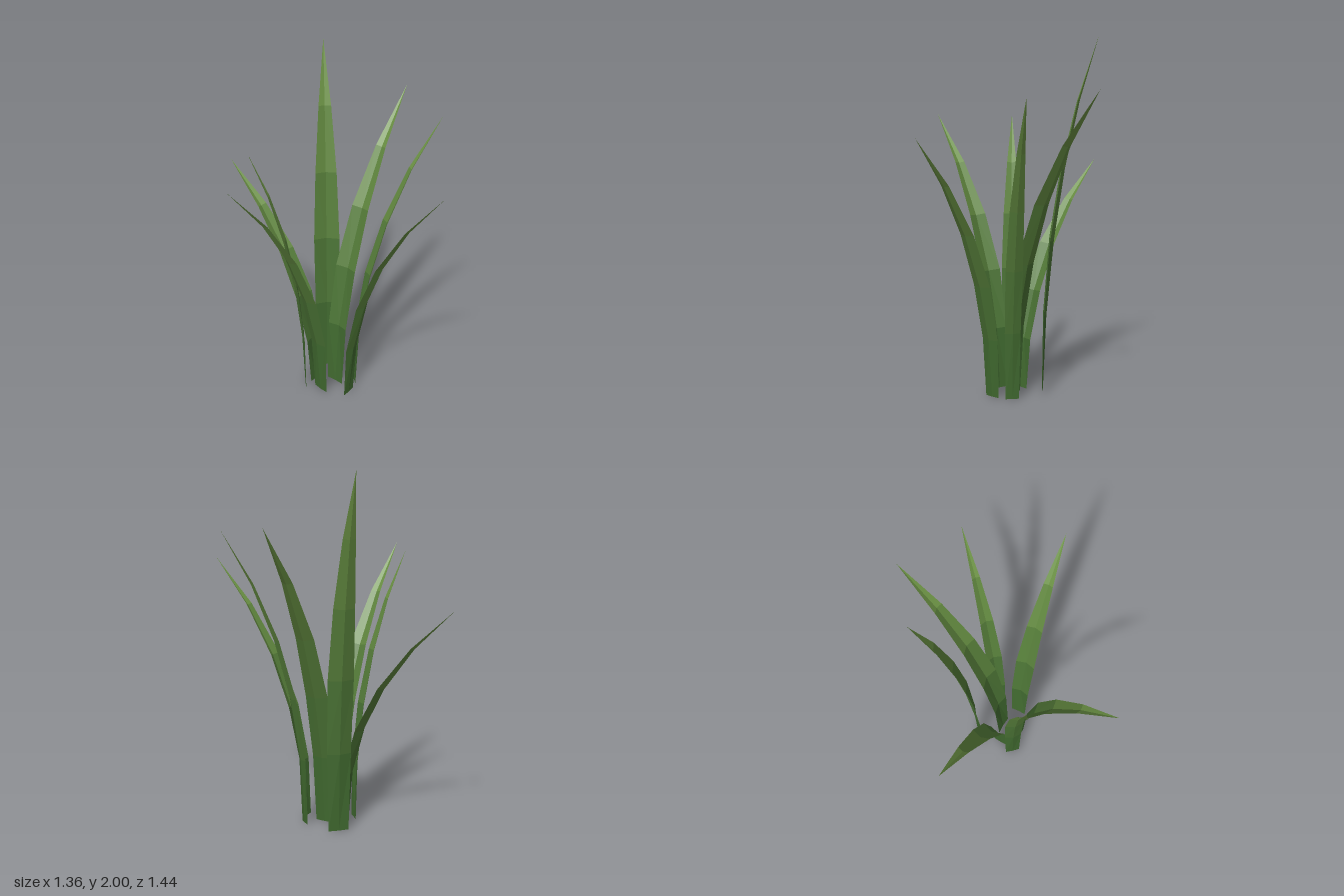
import * as THREE from 'three';

// Shades from the dark foot of a blade to its lighter tip
const shades = [0x40692f, 0x4a7234, 0x557c39, 0x60863e, 0x6a9043].map(color =>
  new THREE.MeshStandardMaterial({ color, flatShading: true, side: THREE.DoubleSide }));

// Relative blade width and fold depth at each of the six rows
const widths = [0.78, 0.93, 1, 0.82, 0.48, 0];
const folds = [0.03, 0.12, 0.16, 0.17, 0.17, 0];

// A folded blade: foot (x, z), tip (x, y, z) and greatest width
function blade(foot, tip, width) {
  const dx = tip[0] - foot[0], dz = tip[2] - foot[1];
  const reach = Math.hypot(dx, dz);
  const out = new THREE.Vector3(dx / reach, 0, dz / reach);
  const side = new THREE.Vector3(out.z, 0, -out.x);
  const up = new THREE.Vector3(0, 1, 0);
  const positions = [], index = [];
  const geometry = new THREE.BufferGeometry();
  const last = widths.length - 1;

  // Each row: left edge, midrib pushed outward, right edge
  widths.forEach((w, i) => {
    const t = i / last;
    const centre = new THREE.Vector3(foot[0] + dx * t * t, tip[1] * (1.15 * t - 0.15 * t * t), foot[1] + dz * t * t);
    const slopeOut = 2 * reach * t, slopeUp = tip[1] * (1.15 - 0.3 * t);
    const normal = out.clone().multiplyScalar(slopeUp).addScaledVector(up, -slopeOut).normalize();
    if (i === 0) normal.copy(out);
    const depth = folds[i] * w * width;
    for (const s of [-1, 0, 1]) {
      const p = centre.clone().addScaledVector(side, s * w * width / 2)
        .addScaledVector(normal, s === 0 ? depth / 2 : -depth / 2);
      positions.push(p.x, p.y, p.z);
    }
  });

  // Two strips per row, ending in a point
  for (let i = 0; i < last; i++) {
    const start = index.length;
    for (let j = 0; j < 2; j++) {
      const a = i * 3 + j, b = a + 1, c = a + 3, d = a + 4;
      index.push(a, b, d);
      if (i < last - 1) index.push(a, d, c);
    }
    geometry.addGroup(start, index.length - start, i);
  }
  geometry.setAttribute('position', new THREE.Float32BufferAttribute(positions, 3));
  geometry.setIndex(index);
  geometry.computeVertexNormals();
  return new THREE.Mesh(geometry, shades);
}

export function createModel() {
  const model = new THREE.Group();
  model.name = 'grassTuft';
  const blades = [
    ['leftBlade', [0.06, 0.02], [0.675, 1.725, -0.04], 0.14],
    ['rightBlade', [-0.06, 0.02], [-0.68, 1.54, 0], 0.13],
    ['frontBlade', [0.04, 0.157], [0.14, 1.48, 0.72], 0.118],
    ['backBlade', [0, -0.078], [-0.073, 1.275, -0.72], 0.135],
    ['frontLeftBlade', [0.145, 0.098], [0.55, 1.69, 0.34], 0.095],
    ['backLeftBlade', [0.138, -0.13], [0.327, 2, -0.36], 0.148],
    ['backRightBlade', [-0.087, -0.083], [-0.315, 1.545, -0.275], 0.11],
  ];
  for (const [name, foot, tip, width] of blades) {
    const mesh = blade(foot, tip, width);
    mesh.name = name;
    model.add(mesh);
  }
  return model;
}
